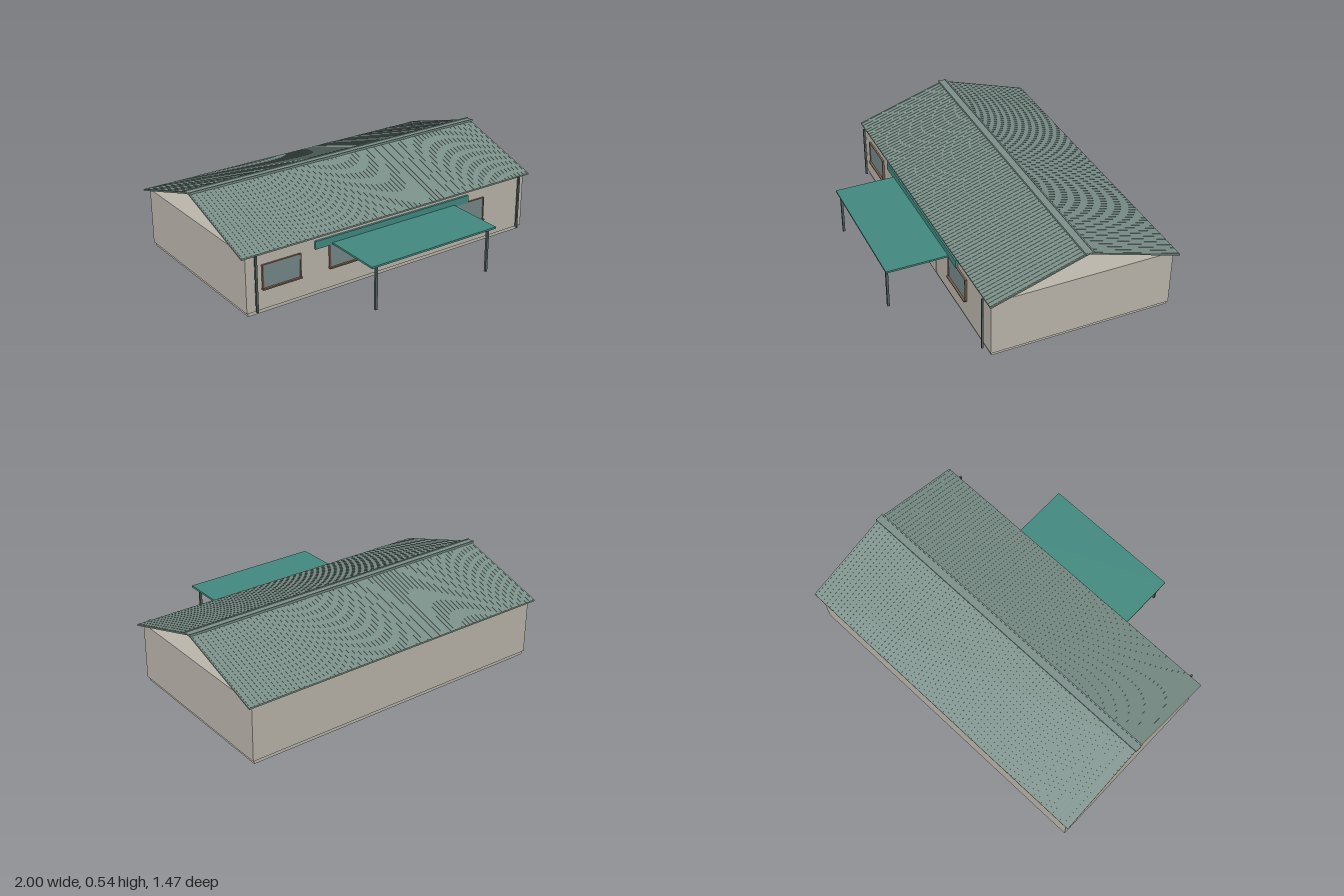
import * as THREE from 'three';

export function createModel() {
  const model = new THREE.Group();
  model.name = 'longHouse';

  const material = (name, color) => {
    const m = new THREE.MeshStandardMaterial({ color });
    m.name = name;
    return m;
  };
  const wall = material('warm grey wall', 0xbab5ab);
  const roofing = material('grey green roof', 0x7b8f89);
  const teal = material('teal canopy', 0x42897f);
  const glass = material('window glass', 0x75888a);
  const brown = material('brown frame', 0x7c614a);
  const steel = material('dark steel', 0x525e5c);

  const add = (name, geometry, mat, parent = model) => {
    const mesh = new THREE.Mesh(geometry, mat);
    mesh.name = name;
    parent.add(mesh);
    return mesh;
  };
  // Box given by its limits on each axis
  const box = (name, mat, [x0, x1], [y0, y1], [z0, z1], parent) => {
    const g = new THREE.BoxGeometry(x1 - x0, y1 - y0, z1 - z0);
    g.translate((x0 + x1) / 2, (y0 + y1) / 2, (z0 + z1) / 2);
    return add(name, g, mat, parent);
  };

  // Body: plinth, walls with a flat ceiling, open gables above
  box('plinth', wall, [-0.955, 0.955], [0, 0.022], [-0.705, 0.355]);
  box('walls', wall, [-0.965, 0.965], [0.022, 0.362], [-0.712, 0.362]);
  box('entrancePanel', wall, [-0.215, 0.215], [0.024, 0.285], [0.36, 0.365]);

  // Roof: chevron section extruded along the length
  const ridgeZ = -0.178, ridgeY = 0.537, eaveY = 0.36, t = 0.009;
  const eaves = [0.378, -0.735];
  const section = new THREE.Shape([
    [eaves[0], eaveY - t], [eaves[0], eaveY], [ridgeZ, ridgeY],
    [eaves[1], eaveY], [eaves[1], eaveY - t], [ridgeZ, ridgeY - t],
  ].map(([z, y]) => new THREE.Vector2(z, y)));
  const roofGeometry = new THREE.ExtrudeGeometry(section, { depth: 1.99, bevelEnabled: false });
  roofGeometry.translate(0, 0, -0.995).rotateY(-Math.PI / 2);
  add('roof', roofGeometry, roofing);

  // Fine sheet ribs running down both slopes
  const ribCount = 72;
  const ribs = new THREE.Group();
  ribs.name = 'roofRibs';
  model.add(ribs);
  for (const eaveZ of eaves) {
    const run = eaveZ - ridgeZ, drop = ridgeY - eaveY;
    const ribGeometry = new THREE.BoxGeometry(0.005, 0.003, Math.hypot(run, drop));
    ribGeometry.rotateX(Math.atan2(drop, Math.abs(run)) * Math.sign(run));
    ribGeometry.translate(0, (ridgeY + eaveY) / 2, (ridgeZ + eaveZ) / 2);
    for (let i = 0; i < ribCount; i++) {
      add('rib', ribGeometry, roofing, ribs).position.x = -0.985 + (1.97 * i) / (ribCount - 1);
    }
  }

  // Ridge cap with a raised roll along each edge
  box('ridgeCap', roofing, [-1, 1], [0.53, 0.539], [-0.202, -0.155]);
  for (const z of [-0.2, -0.157]) {
    box('ridgeRoll', roofing, [-1, 1], [0.531, 0.543], [z - 0.004, z + 0.004]);
  }

  // Windows with thin side frames and a sill
  for (const x of [-0.747, -0.322, 0.105, 0.532]) {
    const win = new THREE.Group();
    win.name = 'window';
    win.position.x = x;
    model.add(win);
    box('pane', glass, [-0.114, 0.114], [0.148, 0.282], [0.362, 0.37], win);
    for (const s of [-0.117, 0.117]) {
      box('sideFrame', brown, [s - 0.004, s + 0.004], [0.145, 0.286], [0.36, 0.374], win);
    }
    box('topFrame', brown, [-0.121, 0.121], [0.282, 0.286], [0.36, 0.372], win);
    box('sill', brown, [-0.123, 0.123], [0.141, 0.149], [0.36, 0.382], win);
  }

  // Entrance canopy and the fascia board behind it
  box('fascia', teal, [-0.535, 0.53], [0.283, 0.33], [0.36, 0.375]);
  box('canopy', teal, [-0.425, 0.425], [0.284, 0.295], [0.36, 0.735]);

  // Canopy posts and eave posts
  for (const x of [-0.385, 0.38]) {
    box('canopyPost', steel, [x - 0.007, x + 0.007], [0.025, 0.285], [0.71, 0.723]);
  }
  for (const x of [-0.915, 0.91]) {
    box('eavePost', steel, [x - 0.006, x + 0.006], [0.028, 0.357], [0.381, 0.392]);
  }

  return model;
}
